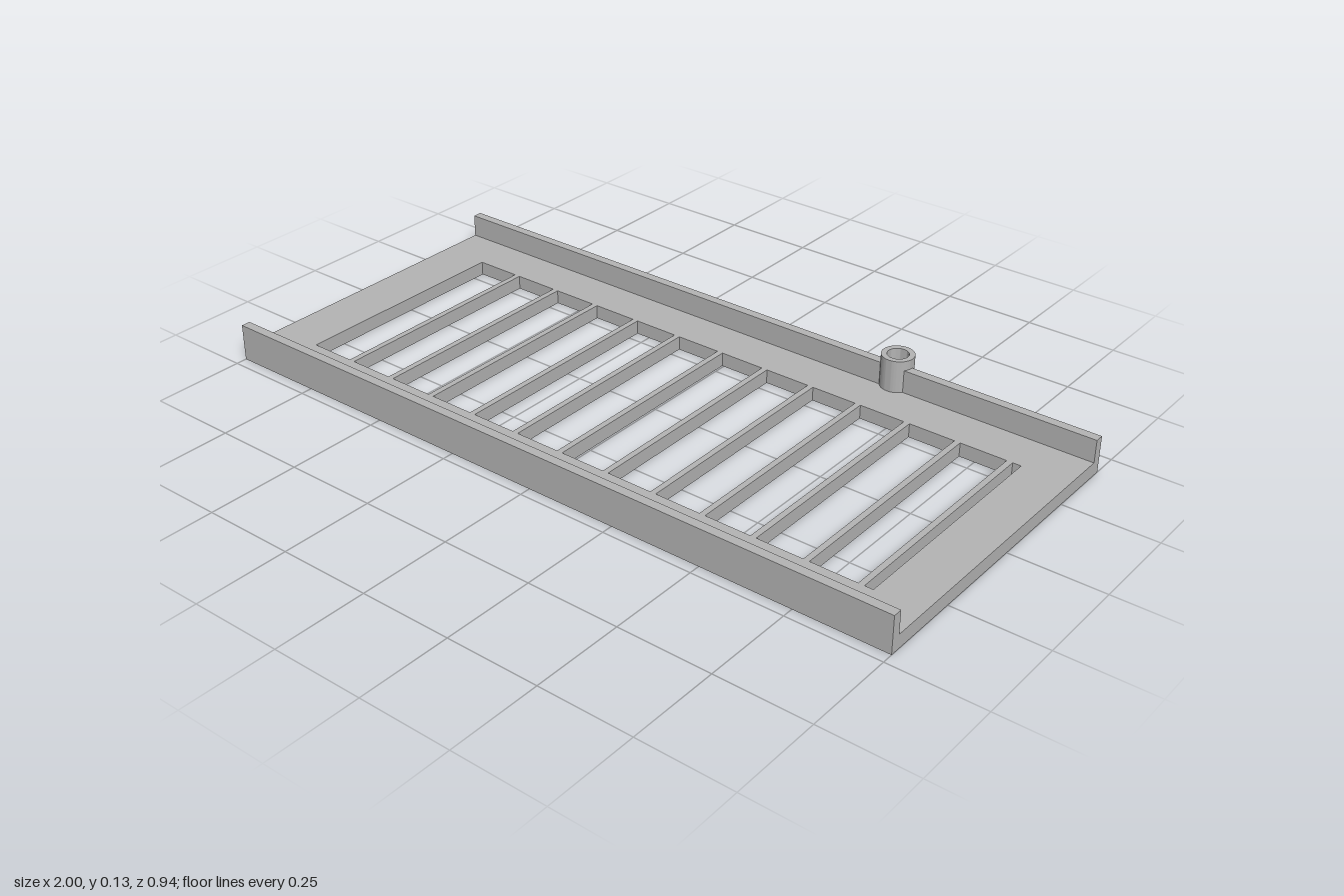
import * as THREE from 'three';
import { toCreasedNormals } from 'three/addons/utils/BufferGeometryUtils.js';

const FRONT = 0.47, BACK = -0.428;          // outer edges along z
const PLATE = 0.038, RIM = 0.1;             // heights
const SOCKET_X = 0.435, OUTER = 0.043, INNER = 0.028;

export function createModel() {
  const group = new THREE.Group();
  const grey = new THREE.MeshStandardMaterial({ color: 0xb3b3b3 });
  grey.name = 'plain grey';

  const add = (name, geometry) => {
    const mesh = new THREE.Mesh(geometry, grey);
    mesh.name = name;
    group.add(mesh);
    return mesh;
  };
  // Extrudes a plan outline (drawn with -z as its second axis) upward from the ground
  const raise = (shape, height) => {
    const geometry = new THREE.ExtrudeGeometry(shape, { depth: height, bevelEnabled: false, curveSegments: 40 });
    return toCreasedNormals(geometry.rotateX(-Math.PI / 2), 0.6);
  };

  // Grated plate, notched at the back edge where the socket passes through
  const plate = new THREE.Shape();
  plate.moveTo(-1, -FRONT);
  plate.lineTo(1, -FRONT);
  plate.lineTo(1, -BACK);
  plate.absarc(SOCKET_X, -BACK, 0.036, 0, Math.PI, true);
  plate.lineTo(-1, -BACK);
  plate.closePath();

  // Slots between evenly spaced bars; the last slot is a narrow remainder
  const bars = 12, pitch = 0.1425, half = 0.008, firstBar = -0.725;
  for (let i = 0; i <= bars; i++) {
    const x0 = i === 0 ? -0.86 : firstBar + (i - 1) * pitch + half;
    const x1 = i === bars ? 0.873 : firstBar + i * pitch - half;
    const slot = new THREE.Path();
    slot.moveTo(x0, -0.347);
    slot.lineTo(x0, 0.284);
    slot.lineTo(x1, 0.284);
    slot.lineTo(x1, -0.347);
    slot.closePath();
    plate.holes.push(slot);
  }
  add('gratedPlate', raise(plate, PLATE));

  // Upright rims; the back one is interrupted by the socket
  const rim = (name, x0, x1, z) => {
    add(name, new THREE.BoxGeometry(x1 - x0, RIM - PLATE, 0.025))
      .position.set((x0 + x1) / 2, (RIM + PLATE) / 2, z);
  };
  rim('frontRim', -1, 1, FRONT - 0.0125);
  rim('backRimRight', -1, SOCKET_X - 0.03, BACK + 0.0125);
  rim('backRimLeft', SOCKET_X + 0.03, 1, BACK + 0.0125);

  // Open tubular socket
  const ring = new THREE.Shape();
  ring.absarc(0, 0, OUTER, 0, Math.PI * 2, false);
  const bore = new THREE.Path();
  bore.absarc(0, 0, INNER, 0, Math.PI * 2, true);
  ring.holes.push(bore);
  add('socket', raise(ring, 0.126)).position.set(SOCKET_X, 0, BACK);

  return group;
}
